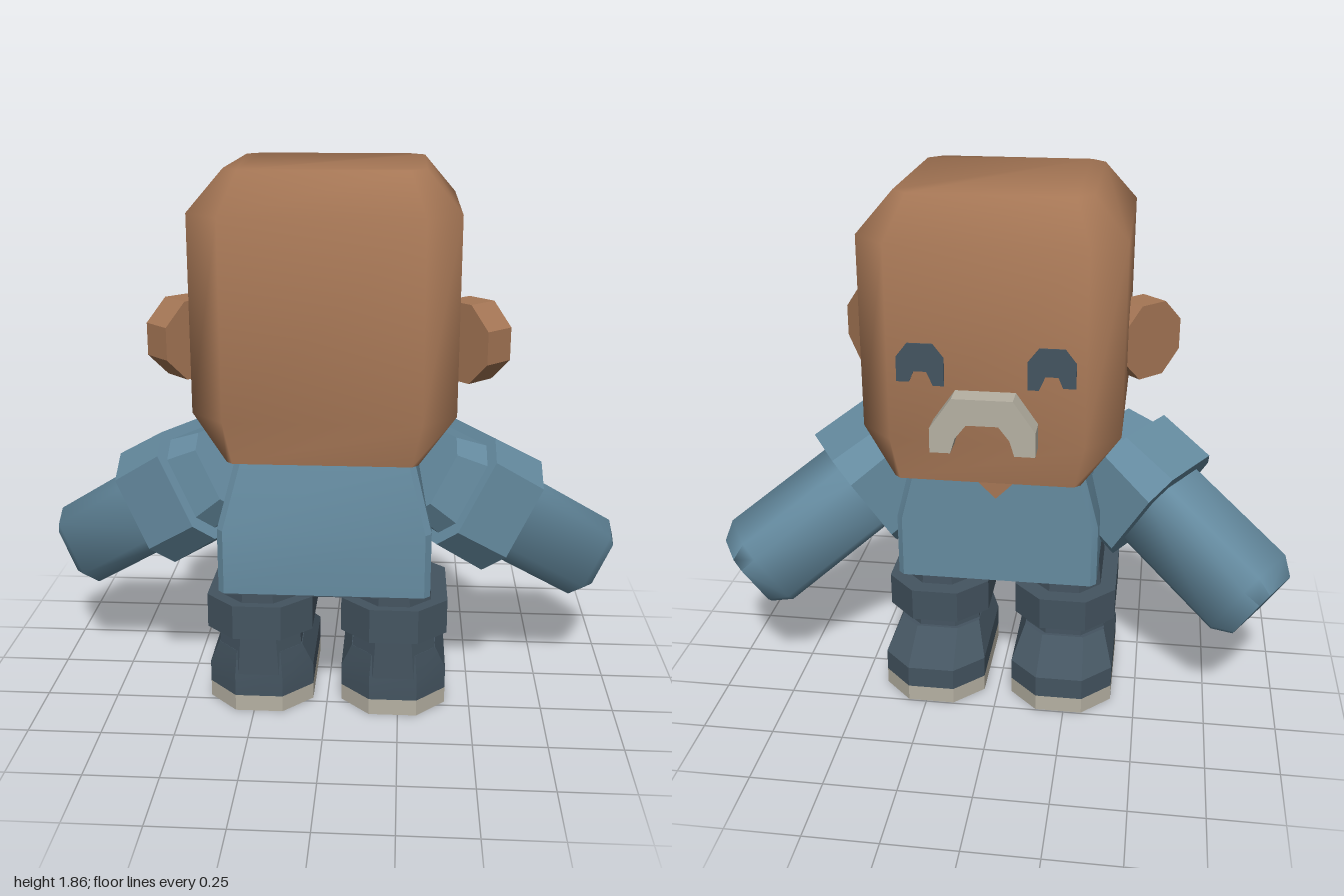
import * as THREE from 'three';
import { toCreasedNormals } from 'three/addons/utils/BufferGeometryUtils.js';

const mat = (name, color) => {
  const m = new THREE.MeshStandardMaterial({ color });
  m.name = name;
  return m;
};

// Stack of chamfered rectangles along y; each ring is [y, halfWidth, zBack, zFront, chamfer]
function loft(rings, crease) {
  const pos = [], idx = [];
  for (const [y, h, z0, z1, c] of rings) {
    const pts = [[c - h, z1], [h - c, z1], [h, z1 - c], [h, z0 + c],
      [h - c, z0], [c - h, z0], [-h, z0 + c], [-h, z1 - c]];
    for (const [x, z] of pts) pos.push(x, y, z);
  }
  const last = (rings.length - 1) * 8;
  for (let r = 0; r < last; r += 8) {
    for (let j = 0; j < 8; j++) {
      const k = (j + 1) % 8;
      idx.push(r + j, r + k, r + 8 + k, r + j, r + 8 + k, r + 8 + j);
    }
  }
  for (let j = 1; j < 7; j++) {
    idx.push(0, j + 1, j, last, last + j, last + j + 1);
  }
  const g = new THREE.BufferGeometry();
  g.setAttribute('position', new THREE.Float32BufferAttribute(pos, 3));
  g.setIndex(idx);
  return toCreasedNormals(g, crease);
}

// Flat outline pushed out along z
function plate(points, depth) {
  const shape = new THREE.Shape(points.map(([x, y]) => new THREE.Vector2(x, y)));
  return new THREE.ExtrudeGeometry(shape, { depth, bevelEnabled: false });
}

export function createModel() {
  const root = new THREE.Group();
  root.name = 'figure';
  const skin = mat('brown skin', 0xa57655);
  const shirt = mat('blue shirt', 0x658ba0);
  const navy = mat('dark navy', 0x445460);
  const pale = mat('pale stone', 0xb6b1a3);
  const add = (parent, name, geo, material, x = 0, y = 0, z = 0) => {
    const m = new THREE.Mesh(geo, material);
    m.name = name;
    m.position.set(x, y, z);
    parent.add(m);
    return m;
  };
  const FLAT = 0.3, SOFT = 1.05;

  // Head: soft block with chamfered crown and jaw sides
  add(root, 'head', loft([
    [0.967, 0.3, -0.405, 0.49, 0.02],
    [1.1, 0.42, -0.405, 0.49, 0.11],
    [1.73, 0.42, -0.405, 0.49, 0.11],
    [1.86, 0.31, -0.29, 0.38, 0.05],
  ], SOFT), skin);

  // Moustache-like bracket floating before the face
  add(root, 'moustache', plate([
    [-0.165, 1.1], [-0.165, 1.18], [-0.095, 1.28], [0.095, 1.28], [0.165, 1.18],
    [0.165, 1.1], [0.1, 1.1], [0.085, 1.15], [0.05, 1.195], [-0.05, 1.195],
    [-0.085, 1.15], [-0.1, 1.1],
  ], 0.078), pale, 0, 0, -0.49);

  // Torso and neckline
  add(root, 'torso', loft([
    [0.49, 0.35, -0.19, 0.42, 0.02],
    [0.71, 0.35, -0.19, 0.42, 0.02],
    [0.98, 0.28, -0.19, 0.355, 0.02],
  ], FLAT), shirt);
  add(root, 'neckline', plate([[-0.16, 0.97], [0, 0.81], [0.16, 0.97]], 0.008), skin, 0, 0, -0.196);
  add(root, 'hips', new THREE.BoxGeometry(0.66, 0.03, 0.54), navy, 0, 0.485, 0.115);

  for (const s of [1, -1]) {
    const side = s > 0 ? 'left' : 'right';

    // Eye: arch with a notched lower edge
    const eye = [[-0.075, -0.05], [-0.035, -0.05], [-0.02, -0.015], [0.02, -0.015], [0.04, -0.06],
      [0.075, -0.06], [0.075, 0.03], [0.04, 0.075], [-0.04, 0.075], [-0.075, 0.03]];
    add(root, side + 'Eye', plate(eye.map(([x, y]) => [-s * x, y]), 0.008), navy, s * 0.205, 1.35, -0.411);

    // Ear: octagonal disc turned outwards and forwards
    const earGeo = new THREE.CylinderGeometry(0.141, 0.141, 0.11, 8)
      .rotateY(Math.PI / 8).rotateX(Math.PI / 2).toNonIndexed();
    earGeo.computeVertexNormals();
    const ear = add(root, side + 'Ear', earGeo, skin, s * 0.462, 1.297, 0.15);
    ear.rotation.y = s * -Math.PI / 4;

    // Arm: shoulder, wide sleeve and forearm on one slanted axis
    const arm = new THREE.Group();
    arm.name = side + 'Arm';
    const d = new THREE.Vector3(s * 0.735, -0.536, -0.415).normalize();
    const w = new THREE.Vector3().crossVectors(d, new THREE.Vector3(0, 1, 0)).normalize();
    const u = new THREE.Vector3().crossVectors(w, d);
    arm.quaternion.setFromRotationMatrix(new THREE.Matrix4().makeBasis(w, d, u));
    arm.position.set(s * 0.56, 0.695, 0.07);
    root.add(arm);
    const ring = (y, h, c) => [y, h, -h, h, c];
    add(arm, 'shoulder', loft([ring(-0.33, 0.14, 0.05), ring(-0.2, 0.17, 0.06)], FLAT), shirt);
    add(arm, 'sleeve', loft([ring(-0.22, 0.2, 0.07), ring(0, 0.21, 0.08)], FLAT), shirt);
    add(arm, 'forearm', loft([
      ring(-0.05, 0.15, 0.05), ring(0.43, 0.152, 0.05), ring(0.495, 0.115, 0.035),
    ], SOFT), shirt);

    // Leg and shoe
    const leg = new THREE.Group();
    leg.name = side + 'Leg';
    leg.position.x = s * 0.232;
    root.add(leg);
    add(leg, 'sole', loft([
      [0, 0.182, -0.245, 0.325, 0.1], [0.058, 0.182, -0.245, 0.325, 0.1],
    ], FLAT), pale);
    add(leg, 'shoe', loft([
      [0.058, 0.182, -0.245, 0.325, 0.1],
      [0.135, 0.182, -0.245, 0.325, 0.1],
      [0.225, 0.145, -0.1, 0.315, 0.07],
    ], FLAT), navy);
    add(leg, 'trouserLeg', loft([
      [0.14, 0.15, -0.09, 0.325, 0.08], [0.5, 0.118, -0.08, 0.32, 0.07],
    ], FLAT), navy);
    add(leg, 'trouserCuff', loft([
      [0.28, 0.182, -0.13, 0.365, 0.1], [0.4, 0.182, -0.13, 0.365, 0.1],
    ], FLAT), navy).rotation.x = -0.03;
  }
  return root;
}
